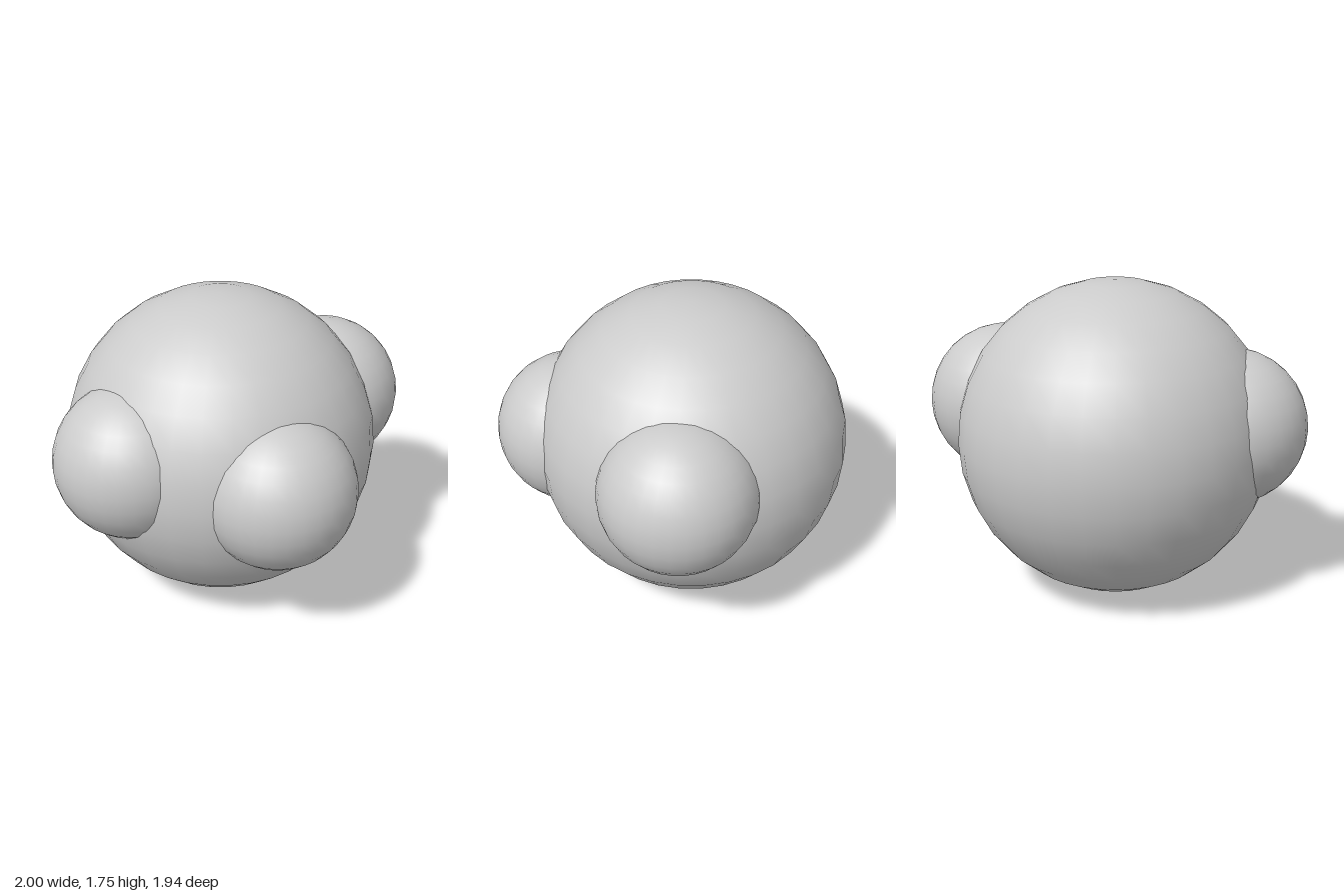
import * as THREE from 'three';

export function createModel() {
  const model = new THREE.Group();
  const material = new THREE.MeshStandardMaterial({ color: 0xcccccc });

  // Smooth sphere placed by its centre
  const addSphere = (name, radius, x, y, z) => {
    const mesh = new THREE.Mesh(new THREE.SphereGeometry(radius, 32, 16), material);
    mesh.name = name;
    mesh.position.set(x, y, z);
    model.add(mesh);
  };

  // Large central body
  addSphere('body', 0.875, -0.06, 0.875, -0.095);

  // Three equal lobes set around the body, partly sunk into it
  const lobeRadius = 0.43;
  addSphere('frontLobe', lobeRadius, 0.19, 0.88, 0.535);
  addSphere('rightLobe', lobeRadius, -0.57, 0.955, 0.28);
  addSphere('backLeftLobe', lobeRadius, 0.57, 1.015, -0.35);

  return model;
}
